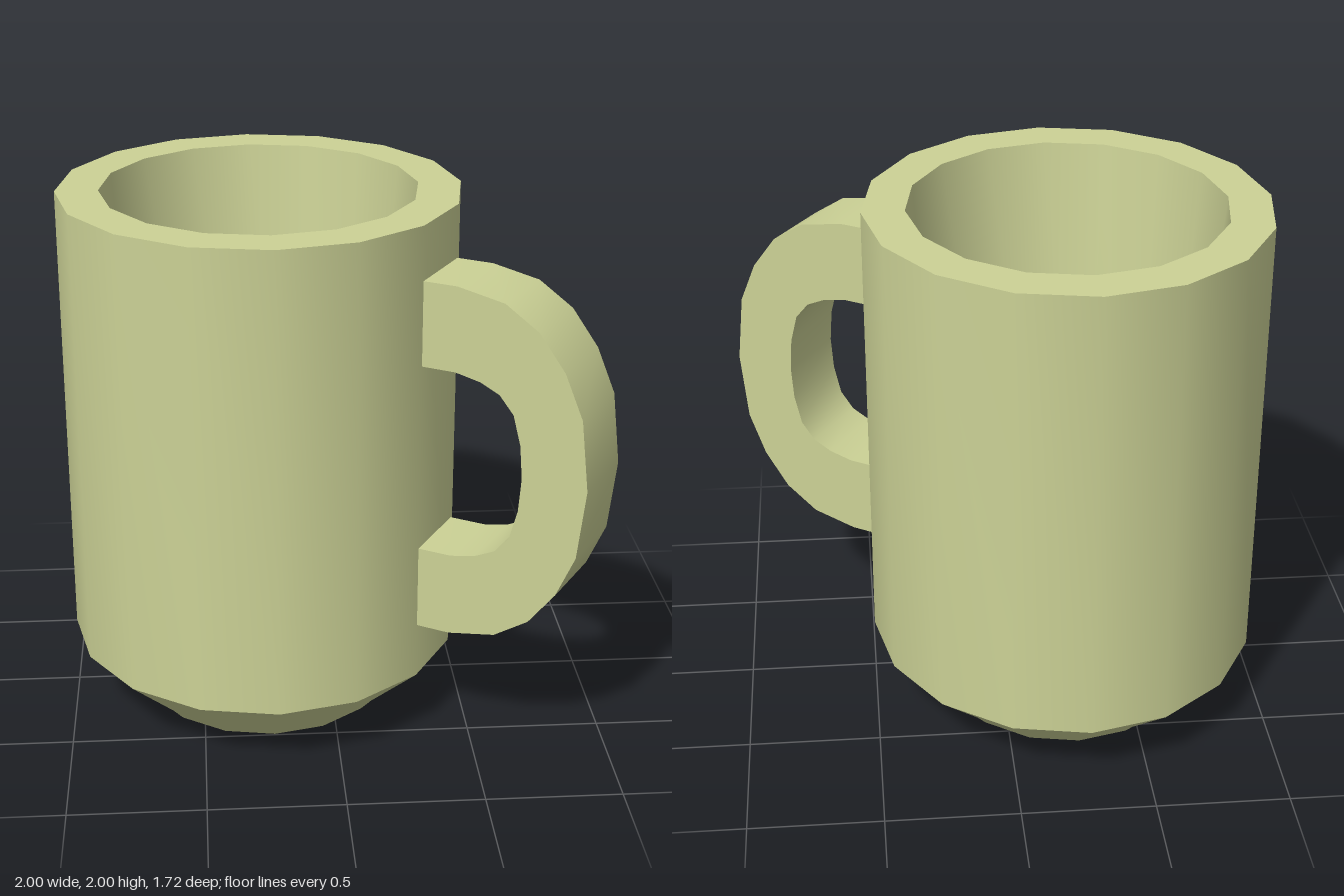
import * as THREE from 'three';
import { toCreasedNormals } from 'three/addons/utils/BufferGeometryUtils.js';

export function createModel() {
  const group = new THREE.Group();
  const clay = new THREE.MeshStandardMaterial({ color: 0xccd296 });
  clay.name = 'pale olive clay';

  const add = (geometry, name) => {
    const mesh = new THREE.Mesh(toCreasedNormals(geometry, 0.6), clay);
    mesh.name = name;
    group.add(mesh);
    return mesh;
  };
  const points = (list) => list.map(([x, y]) => new THREE.Vector2(x, y));

  // Cup: one closed profile from the recessed base, up the outside and down to the inner floor
  const profile = points([
    [0, 0.05], [0.5, 0.045], [0.6, 0.025], [0.653, 0],
    [0.72, 0.055], [1, 0.25], [1, 2],
    [0.787, 2], [0.583, 0.22], [0, 0.22],
  ]);
  const cup = new THREE.LatheGeometry(profile, 16, THREE.MathUtils.degToRad(91.7));
  cup.scale(0.75, 1, 0.825);
  cup.translate(-0.25, 0, -0.045);
  add(cup, 'cup');

  // Handle: half of each outline, mirrored about its middle height
  const mid = 1.13;
  const outline = (half) => [
    ...half.map(([u, h]) => [u, mid + h]),
    ...half.slice(0, -1).reverse().map(([u, h]) => [u, mid - h]),
  ];
  const outer = outline([
    [-0.01, 0.67], [0.14, 0.67], [0.32, 0.635], [0.45, 0.55],
    [0.55, 0.42], [0.62, 0.26], [0.65, 0],
  ]);
  const inner = outline([
    [-0.01, 0.355], [0.14, 0.355], [0.235, 0.335], [0.31, 0.3],
    [0.365, 0.235], [0.395, 0.125], [0.405, 0],
  ]);
  const shape = new THREE.Shape(points([...outer, ...inner.reverse()]));
  const handle = add(
    new THREE.ExtrudeGeometry(shape, { depth: 0.309, bevelEnabled: false }),
    'handle',
  );
  handle.position.set(0.45, 0, 0.25);
  handle.rotation.y = -0.554;

  return group;
}
